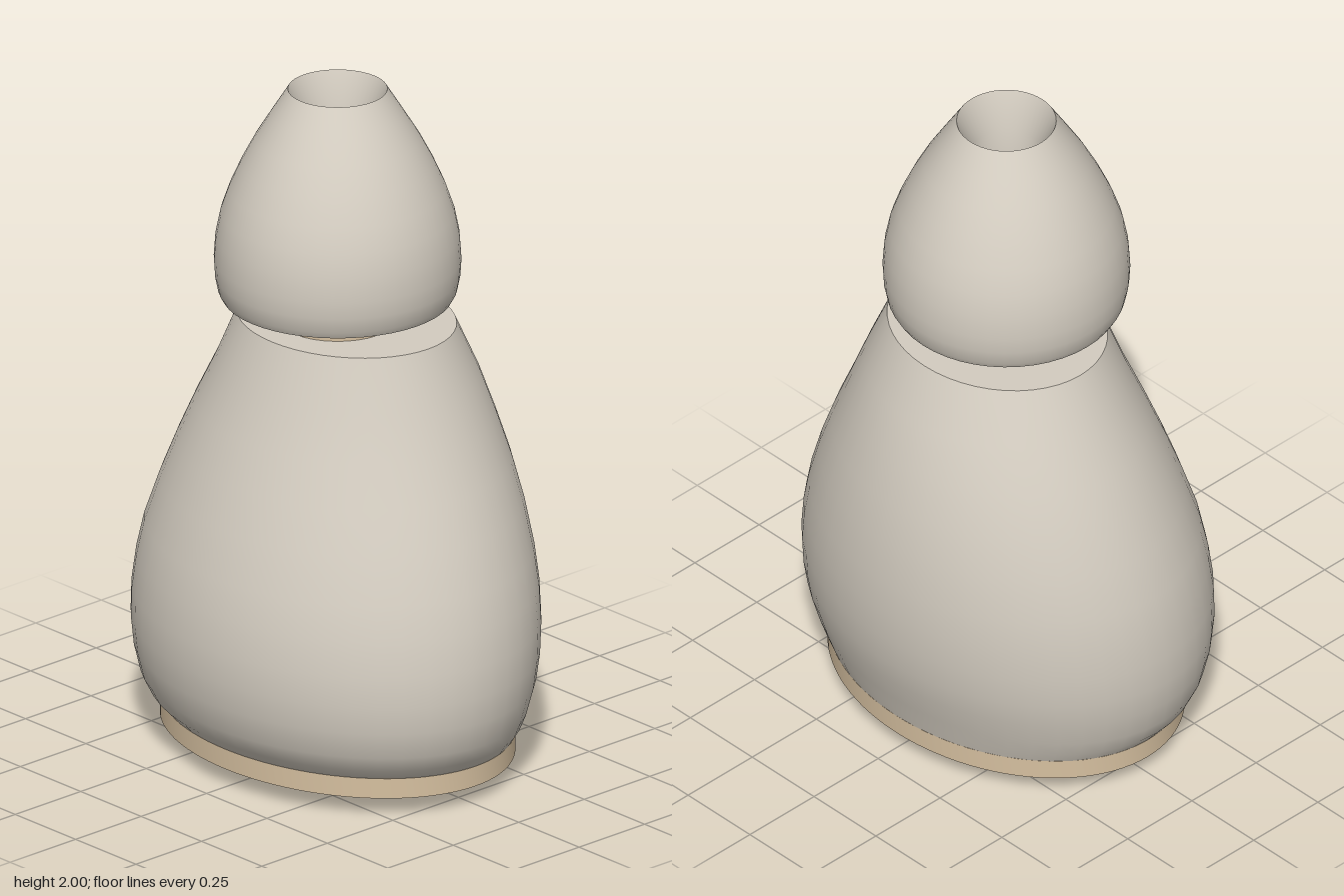
import * as THREE from 'three';
import { toCreasedNormals } from 'three/addons/utils/BufferGeometryUtils.js';

export function createModel() {
  const group = new THREE.Group();
  const shell = new THREE.MeshStandardMaterial({ color: 0xd3ccc0 });
  shell.name = 'warm grey shell';
  const tan = new THREE.MeshStandardMaterial({ color: 0xd6c0a0 });
  tan.name = 'tan base';
  const dark = new THREE.MeshStandardMaterial({ color: 0x504b44 });
  dark.name = 'dark slot';

  const add = (name, geometry, material, x = 0, y = 0, z = 0) => {
    const mesh = new THREE.Mesh(geometry, material);
    mesh.name = name;
    mesh.position.set(x, y, z);
    group.add(mesh);
    return mesh;
  };

  // Body: oval sections [y, min x, max x, min z, max z], leaning slightly
  const rows = [
    [0.115, 0, 0, 0, 0],
    [0.115, -0.43, 0.43, -0.57, 0.57],
    [0.15, -0.462, 0.44, -0.597, 0.6],
    [0.2, -0.488, 0.455, -0.618, 0.625],
    [0.28, -0.508, 0.48, -0.637, 0.643],
    [0.36, -0.517, 0.497, -0.645, 0.648],
    [0.45, -0.517, 0.508, -0.643, 0.643],
    [0.55, -0.504, 0.512, -0.632, 0.625],
    [0.65, -0.483, 0.508, -0.612, 0.598],
    [0.78, -0.442, 0.494, -0.57, 0.55],
    [0.9, -0.4, 0.47, -0.523, 0.5],
    [1.02, -0.354, 0.437, -0.47, 0.446],
    [1.15, -0.304, 0.39, -0.404, 0.394],
    [1.3, -0.25, 0.32, -0.335, 0.335],
    [1.3, 0, 0, 0, 0],
  ];
  const segments = 48;
  const body = new THREE.LatheGeometry(rows.map((r) => new THREE.Vector2(1, r[0])), segments);
  const pos = body.attributes.position;
  for (let i = 0; i < pos.count; i++) {
    const [y, x0, x1, z0, z1] = rows[i % rows.length];
    const a = (Math.floor(i / rows.length) % segments) / segments * Math.PI * 2;
    pos.setXYZ(i, (x0 + x1) / 2 + (x1 - x0) / 2 * Math.sin(a), y,
      (z0 + z1) / 2 + (z1 - z0) / 2 * Math.cos(a));
  }
  add('body', toCreasedNormals(body, 0.7), shell);

  // Head: bullet-shaped cap with a tapered bore
  const headProfile = [
    [0.16, 1.375], [0.325, 1.375], [0.336, 1.395], [0.345, 1.44], [0.348, 1.49],
    [0.343, 1.56], [0.329, 1.63], [0.305, 1.7], [0.272, 1.775], [0.233, 1.85],
    [0.187, 1.925], [0.14, 2], [0.097, 1.89], [0.097, 1.74],
  ].map((p) => new THREE.Vector2(...p));
  add('head', toCreasedNormals(new THREE.LatheGeometry(headProfile, 48), 0.7), shell);

  // Neck rod joining body and head, its domed tip showing in the bore
  add('neck', new THREE.CylinderGeometry(0.165, 0.165, 0.2, 32), tan, 0, 1.36, 0);
  const tip = add('neckTip', new THREE.SphereGeometry(0.1, 32, 8, 0, Math.PI * 2, 0, Math.PI / 2), tan, 0, 1.74, 0);
  tip.scale.y = 0.4;

  // Oval base plate with a small round recess
  const oval = new THREE.Shape().absellipse(0, 0, 0.43, 0.57, 0, Math.PI * 2);
  oval.holes.push(new THREE.Path().absellipse(-0.28, 0.28, 0.045, 0.045, 0, Math.PI * 2));
  const plate = new THREE.ExtrudeGeometry(oval, { depth: 0.06, bevelEnabled: false, curveSegments: 48 });
  plate.rotateX(-Math.PI / 2);
  add('basePlate', toCreasedNormals(plate, 0.7), tan, 0, 0.055, 0);
  add('recessButton', new THREE.SphereGeometry(0.035, 16, 12), tan, -0.28, 0.092, -0.28);

  // H-shaped foot with flared crossbar, and a dark slot outside each rail
  const h = new THREE.Shape();
  [[0.165, 0.262], [0.1, 0.262], [0.1, 0.1], [0.07, 0.055], [-0.07, 0.055], [-0.1, 0.1],
    [-0.1, 0.262], [-0.165, 0.262], [-0.165, -0.262], [-0.1, -0.262], [-0.1, -0.1], [-0.07, -0.055],
    [0.07, -0.055], [0.1, -0.1], [0.1, -0.262], [0.165, -0.262],
  ].forEach(([x, y], i) => (i ? h.lineTo(x, y) : h.moveTo(x, y)));
  const foot = new THREE.ExtrudeGeometry(h, { depth: 0.06, bevelEnabled: false });
  foot.rotateX(-Math.PI / 2);
  add('foot', foot, tan);
  for (const side of [-1, 1]) {
    add(side > 0 ? 'leftSlot' : 'rightSlot', new THREE.BoxGeometry(0.035, 0.014, 0.4), dark, side * 0.21, 0.05, 0);
  }
  return group;
}
